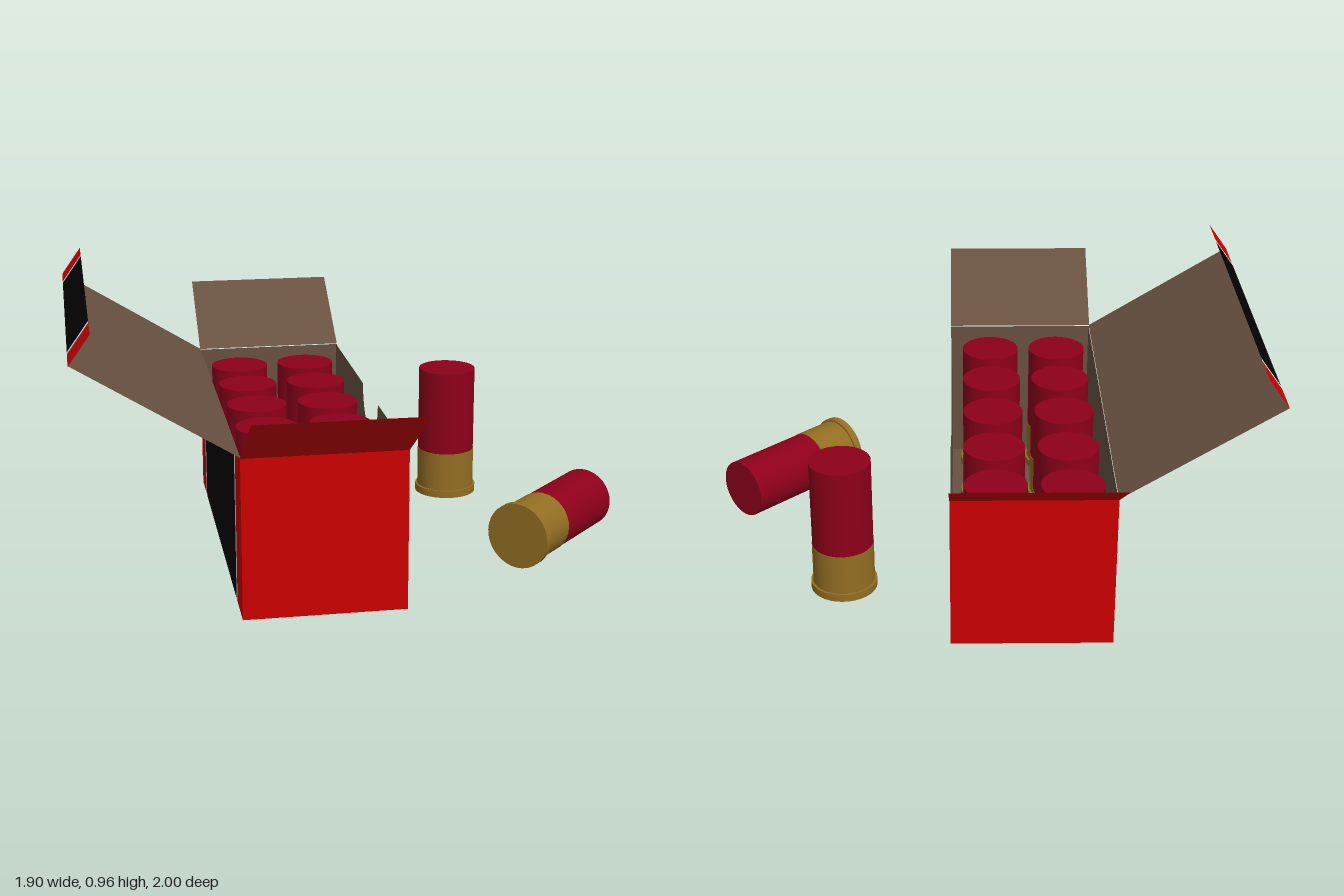
import * as THREE from 'three';

export function createModel() {
  const model = new THREE.Group();
  model.name = 'openCartridgeBox';

  const mat = (name, color) => {
    const m = new THREE.MeshStandardMaterial({ color });
    m.name = name;
    return m;
  };
  const red = mat('box red', 0xcc0000);
  const black = mat('box black', 0x020202);
  const white = mat('stripe white', 0xe4e4e4);
  const card = mat('inner cardboard', 0x695141);
  const plastic = mat('shell red', 0x8e001a);
  const brass = mat('brass', 0x936e22);

  const add = (parent, name, geometry, material) => {
    const mesh = new THREE.Mesh(geometry, material);
    mesh.name = name;
    parent.add(mesh);
    return mesh;
  };

  const quad = (corners) => {
    const g = new THREE.BufferGeometry();
    g.setAttribute('position', new THREE.Float32BufferAttribute(corners.flat(), 3));
    g.setIndex([0, 1, 2, 0, 2, 3]);
    g.computeVertexNormals();
    return g;
  };

  // Thin card: printed outside, plain cardboard just inside it
  const sheet = (parent, name, corners, material) => {
    add(parent, name, quad(corners), material);
    const inner = quad([...corners].reverse());
    const inward = new THREE.Vector3().fromBufferAttribute(inner.attributes.normal, 0);
    add(parent, name + 'Inside', inner, card).position.copy(inward).multiplyScalar(0.003);
  };

  const box = new THREE.Group();
  box.name = 'box';
  model.add(box);
  const L = -0.437, R = 0.104, H = 0.545, D = 0.69;

  // Wrap-around profile, lid lip to right wall, printed in bands along z
  const profile = [[-0.883, 0.963], [-0.953, 0.865], [L, H], [L, 0], [R, 0], [R, H]];
  const names = ['lidLip', 'lid', 'backWall', 'bottom', 'notchedWall'];
  const bands = [-D, -0.551, -0.524, 0.508, 0.536, D];
  const bandMats = [red, white, black, white, red];
  names.forEach((name, i) => {
    const a = profile[i], b = profile[i + 1];
    bandMats.forEach((m, k) => {
      if (name === 'notchedWall' && k === 2) return;
      const z0 = bands[k], z1 = bands[k + 1];
      sheet(box, name, [[...a, z0], [...b, z0], [...b, z1], [...a, z1]], m);
    });
  });

  // Middle of the right wall with the thumb notch (shape x runs along -z)
  const wall = new THREE.Shape();
  wall.moveTo(-0.508, 0);
  wall.lineTo(0.524, 0);
  wall.lineTo(0.524, H);
  wall.lineTo(0.105, H);
  wall.absarc(-0.035, H, 0.14, 0, Math.PI, true);
  wall.lineTo(-0.508, H);
  const wallOut = new THREE.ShapeGeometry(wall, 24).rotateY(Math.PI / 2).translate(R, 0, 0);
  add(box, 'notchPanel', wallOut, black);
  const wallIn = wallOut.clone();
  wallIn.setIndex([...wallOut.index.array].reverse());
  wallIn.computeVertexNormals();
  add(box, 'notchPanelInside', wallIn, card).position.x = -0.003;

  // End walls and their open flaps
  for (const s of [1, -1]) {
    const ends = {
      endWall: [[L, 0, D], [R, 0, D], [R, H, D], [L, H, D]],
      endFlap: [[L, H, D], [R, H, D], [R, 0.748, 1], [L, 0.748, 1]],
    };
    for (const [name, pts] of Object.entries(ends)) {
      const c = pts.map(([x, y, z]) => [x, y, z * s]);
      sheet(box, name, s > 0 ? c : c.reverse(), red);
    }
  }

  // Ragged diagonal brush stroke, printed on the notched wall and the lid
  const strokes = [
    [white, [[-0.1, 0.228], [-0.06, 0.232], [0, 0.255], [0.07, 0.283], [0.15, 0.313], [0.2, 0.335],
      [0.26, 0.353], [0.3, 0.375], [0.31, 0.415], [0.26, 0.392], [0.19, 0.38], [0.125, 0.355],
      [0.07, 0.322], [0.02, 0.297], [-0.05, 0.268], [-0.1, 0.245]]],
    [white, [[-0.21, 0.165], [-0.19, 0.16], [-0.15, 0.195], [-0.11, 0.21], [-0.09, 0.235],
      [-0.1, 0.265], [-0.13, 0.24], [-0.17, 0.23], [-0.2, 0.2]]],
    [white, [[-0.235, 0.105], [-0.205, 0.115], [-0.185, 0.15], [-0.2, 0.165], [-0.225, 0.145]]],
    [white, [[-0.3, 0.065], [-0.26, 0.07], [-0.25, 0.105], [-0.27, 0.12], [-0.295, 0.1]]],
    [card, [[0.31, 0.382], [0.36, 0.405], [0.41, 0.435], [0.43, 0.465], [0.41, 0.475],
      [0.35, 0.45], [0.31, 0.417]]],
  ];
  const across = new THREE.Vector3(0, 0, -1);
  for (const [[ax, ay], [bx, by]] of [[profile[4], profile[5]], [profile[1], profile[2]]]) {
    const up = new THREE.Vector3(bx - ax, by - ay, 0).normalize();
    const out = new THREE.Vector3().crossVectors(across, up);
    const place = new THREE.Matrix4().makeBasis(across, up, out)
      .setPosition(ax + out.x * 0.003, ay + out.y * 0.003, 0);
    for (const [m, pts] of strokes) {
      const shape = new THREE.Shape(pts.map(([u, v]) => new THREE.Vector2(u, v)));
      add(box, 'brushStroke', new THREE.ShapeGeometry(shape).applyMatrix4(place), m);
    }
  }

  // One shell, standing on its rim at y = 0
  const cyl = (r, y0, y1) =>
    new THREE.CylinderGeometry(r, r, y1 - y0, 32).translate(0, (y0 + y1) / 2, 0);
  const rimGeo = cyl(0.115, 0, 0.027);
  const baseGeo = cyl(0.107, 0.027, 0.172);
  const tubeGeo = cyl(0.1055, 0.172, 0.488);
  const shell = (name, x, y, z) => {
    const g = new THREE.Group();
    g.name = name;
    add(g, 'rim', rimGeo, brass);
    add(g, 'brassBase', baseGeo, brass);
    add(g, 'tube', tubeGeo, plastic);
    g.position.set(x, y, z);
    model.add(g);
    return g;
  };

  // Two rows of five in the box
  for (const x of [-0.3, -0.047])
    for (let i = -2; i <= 2; i++) shell('boxedShell', x, 0.03, i * 0.27);

  // Loose shells: one standing, one lying
  shell('standingShell', 0.475, 0.03, -0.365);
  const lying = shell('lyingShell', 0.532, 0.14, 0.465);
  lying.quaternion.setFromUnitVectors(
    new THREE.Vector3(0, 1, 0), new THREE.Vector3(1, 0, -1).normalize());

  return model;
}
